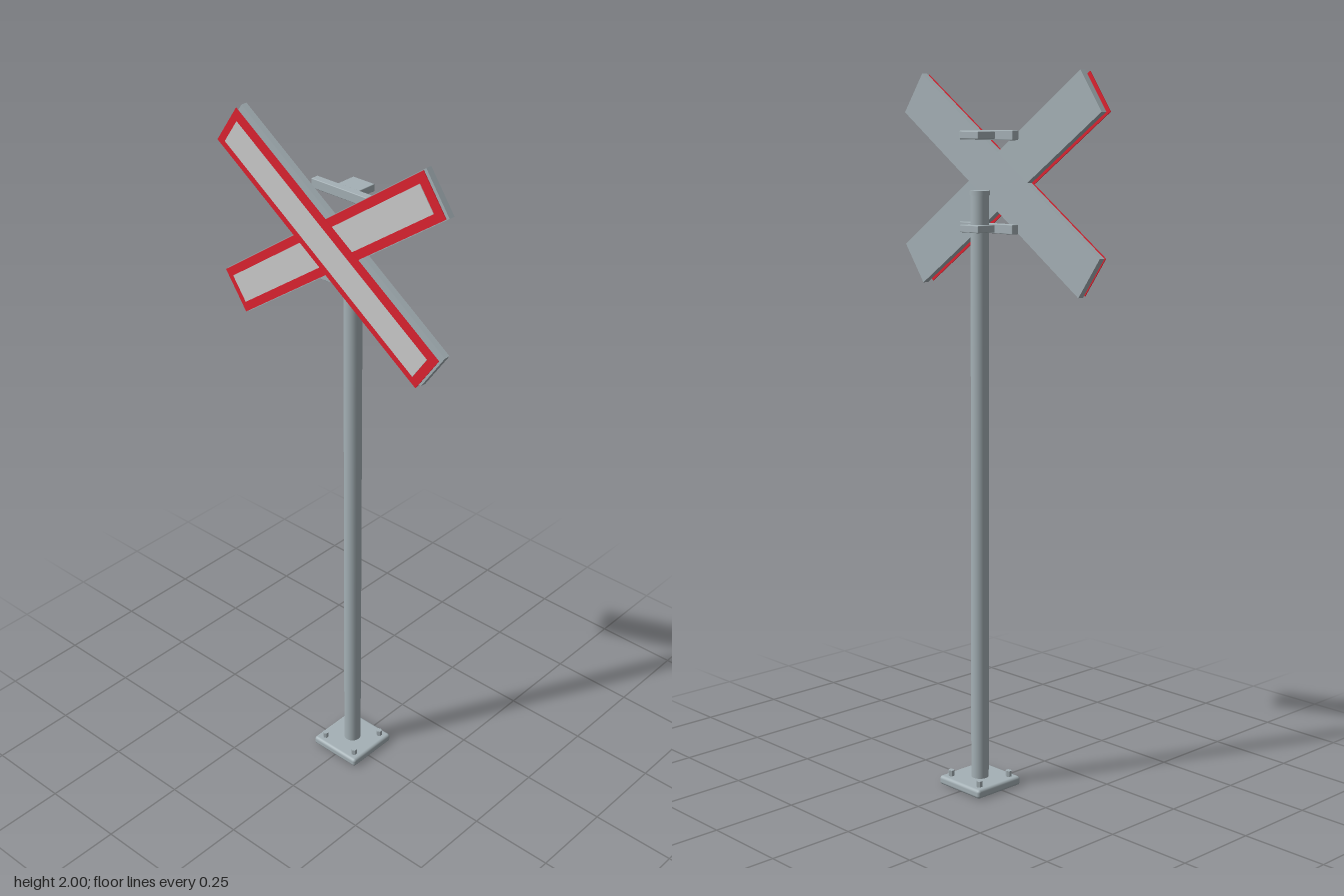
import * as THREE from 'three';
import { RoundedBoxGeometry } from 'three/addons/geometries/RoundedBoxGeometry.js';

const metal = new THREE.MeshStandardMaterial({ color: 0xa4b0b5 });
const red = new THREE.MeshStandardMaterial({ color: 0xdd2230 });
const panel = new THREE.MeshStandardMaterial({ color: 0xcccccc });

const ANGLE = THREE.MathUtils.degToRad(35);
const HALF_L = 0.418, HALF_W = 0.065; // half size of one arm board
const CROSS_Y = 1.707;
const POLE_Z = -0.014;

function add(parent, name, geometry, material, x = 0, y = 0, z = 0) {
  const mesh = new THREE.Mesh(geometry, material);
  mesh.name = name;
  mesh.position.set(x, y, z);
  parent.add(mesh);
  return mesh;
}

// X-shaped outline: one quadrant mirrored into four
function crossShape() {
  const c = Math.cos(ANGLE), s = Math.sin(ANGLE);
  const lower = [HALF_L * c + HALF_W * s, HALF_L * s - HALF_W * c];
  const upper = [HALF_L * c - HALF_W * s, HALF_L * s + HALF_W * c];
  const side = HALF_W / s, top = HALF_W / c;
  const half = [[side, 0], lower, upper, [0, top], [-upper[0], upper[1]], [-lower[0], lower[1]]];
  const points = [...half, ...half.map(([x, y]) => [-x, -y])];
  return new THREE.Shape(points.map(([x, y]) => new THREE.Vector2(x, y)));
}

export function createModel() {
  const group = new THREE.Group();
  group.name = 'crossingSign';

  // Base plate with four hex bolts
  const base = new THREE.Group();
  base.name = 'base';
  group.add(base);
  add(base, 'basePlate', new RoundedBoxGeometry(0.166, 0.026, 0.166, 3, 0.009), metal, 0, 0.013, POLE_Z);
  for (const x of [-1, 1]) for (const z of [-1, 1]) {
    const bolt = new THREE.CylinderGeometry(0.009, 0.009, 0.03, 6).toNonIndexed();
    bolt.computeVertexNormals();
    add(base, 'bolt', bolt, metal, x * 0.058, 0.028, POLE_Z + z * 0.058);
  }

  // Pole and its cap
  add(group, 'pole', new THREE.CylinderGeometry(0.025, 0.025, 1.66, 32), metal, 0, 0.85, POLE_Z);
  add(group, 'poleCap', new THREE.CylinderGeometry(0.0275, 0.0275, 0.012, 32), metal, 0, 1.68, POLE_Z);

  // Two brackets: a crossbar with a clamp block behind it
  for (const [name, y] of [['lowerBracket', 1.585], ['upperBracket', 1.833]]) {
    const bracket = new THREE.Group();
    bracket.name = name;
    bracket.position.y = y;
    group.add(bracket);
    add(bracket, 'crossbar', new RoundedBoxGeometry(0.206, 0.026, 0.023, 2, 0.002), metal, 0, 0, 0.0185);
    add(bracket, 'clamp', new RoundedBoxGeometry(0.072, 0.02, 0.066, 2, 0.002), metal, 0, 0, -0.022);
  }

  // Backing cross
  const cross = new THREE.ExtrudeGeometry(crossShape(), { depth: 0.018, bevelEnabled: false });
  add(group, 'backingCross', cross, metal, 0, CROSS_Y, 0.052);

  // Red sheet and pale panel on each arm, one arm in front of the other
  for (const [name, turn, z] of [['rearArm', ANGLE, 0.0787], ['frontArm', -ANGLE, 0.0895]]) {
    const arm = new THREE.Group();
    arm.name = name;
    arm.position.set(0, CROSS_Y, z);
    arm.rotation.z = turn;
    group.add(arm);
    const sheet = (margin) => new THREE.BoxGeometry(2 * (HALF_L - margin), 2 * (HALF_W - margin), 0.002);
    add(arm, 'redBorder', sheet(0.002), red);
    add(arm, 'panel', sheet(0.026), panel, 0, 0, 0.0062);
  }
  return group;
}
